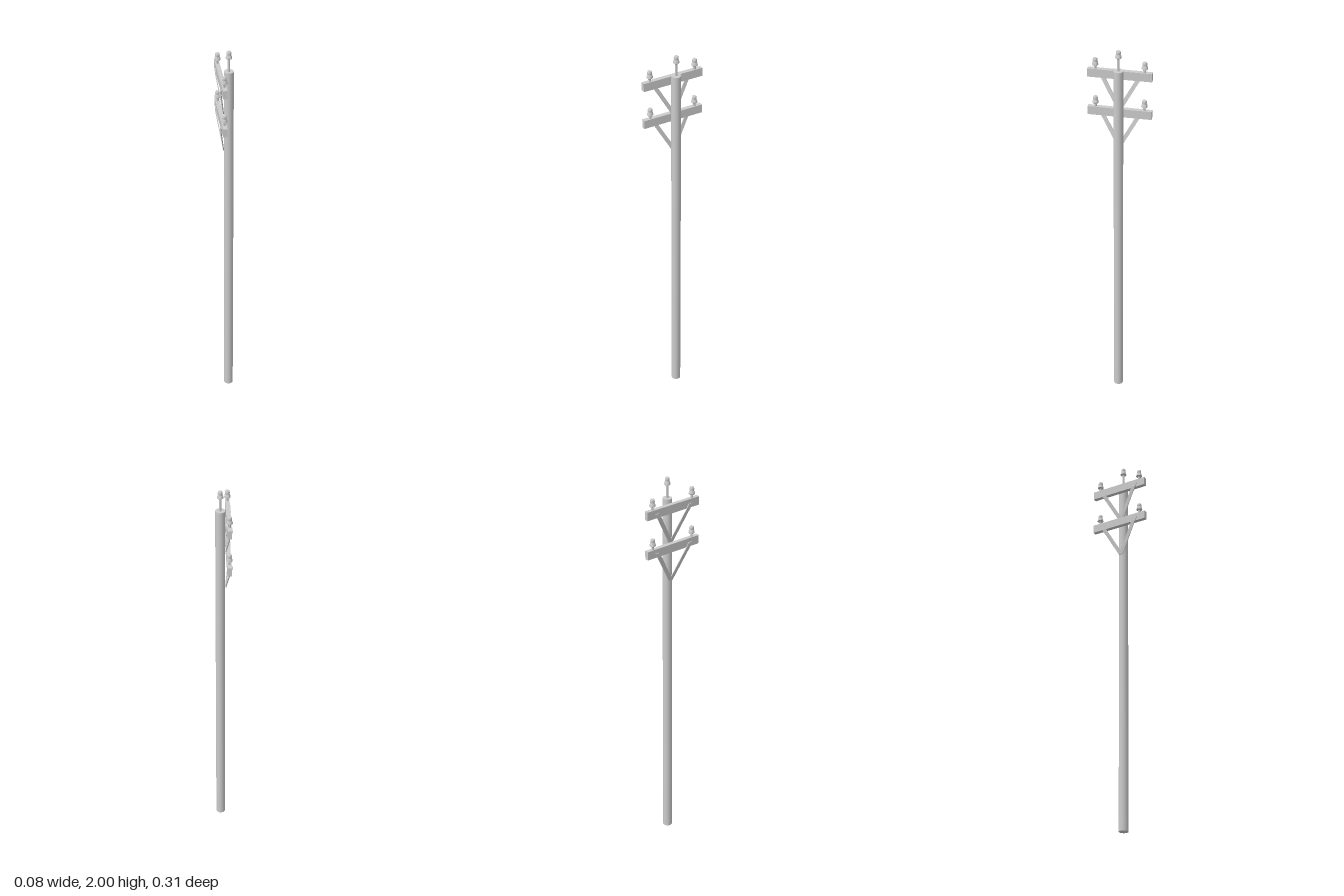
import * as THREE from 'three';
import { toCreasedNormals } from 'three/addons/utils/BufferGeometryUtils.js';

const POLE_X = 0.0145, POLE_R = 0.0235, POLE_H = 1.897;
const ARM_X = -0.0235, ARM_W = 0.021, ARM_H = 0.043, ARM_L = 0.309;

export function createModel() {
  const root = new THREE.Group();
  root.name = 'utilityPole';
  const material = new THREE.MeshStandardMaterial({ color: 0xcccccc });

  const add = (parent, name, geometry, x, y, z) => {
    const mesh = new THREE.Mesh(geometry, material);
    mesh.name = name;
    mesh.position.set(x, y, z);
    parent.add(mesh);
    return mesh;
  };

  // Bell-shaped insulator: skirt, neck groove and rounded head, base at y = 0
  const bell = toCreasedNormals(new THREE.LatheGeometry([
    [0, 0], [0.0125, 0], [0.0155, 0.003], [0.0145, 0.009], [0.0125, 0.016], [0.011, 0.019],
    [0.0105, 0.022], [0.0115, 0.025], [0.0105, 0.034], [0.009, 0.037], [0, 0.037],
  ].map(([r, y]) => new THREE.Vector2(r, y)), 20), 0.6);

  // Insulator standing on a pin of the given length
  const addInsulator = (parent, x, y, z, pinLength) => {
    const group = new THREE.Group();
    group.name = 'insulator';
    group.position.set(x, y, z);
    add(group, 'pin', new THREE.CylinderGeometry(0.006, 0.006, pinLength + 0.004, 12), 0, pinLength / 2, 0);
    add(group, 'bell', bell, 0, pinLength, 0);
    parent.add(group);
  };

  // Flat strap brace: lies on the arm's outer face, then bends in to the pole.
  // Origin is at the arm's bottom edge; side is +1 or -1 along z.
  const braceGeometry = (side) => {
    const w = 0.011, drop = 0.16;
    const strip = (z0, y0, z1, y1) => new THREE.Shape([
      [z0 - w, y0], [z0 + w, y0], [z1 + w, y1], [z1 - w, y1],
    ].map(([z, y]) => new THREE.Vector2(z * side, y)));
    const geometry = new THREE.ExtrudeGeometry(
      [strip(0, -drop, 0.088, 0), strip(0.088, 0, 0.1, 0.022)],
      { depth: 0.004, bevelEnabled: false },
    );
    geometry.rotateY(-Math.PI / 2);
    const p = geometry.attributes.position;
    for (let i = 0; i < p.count; i++) {
      p.setX(i, p.getX(i) + 0.0245 * Math.max(0, -p.getY(i) / drop));
    }
    geometry.computeVertexNormals();
    return geometry;
  };

  // Pole and the insulator on its top
  add(root, 'pole', new THREE.CylinderGeometry(POLE_R, POLE_R, POLE_H, 24), POLE_X, POLE_H / 2, 0);
  addInsulator(root, POLE_X, POLE_H, 0, 0.066);

  // Two crossarms, each with a pair of insulators and braces
  for (const top of [1.88, 1.678]) {
    const group = new THREE.Group();
    group.name = 'crossarmAssembly';
    root.add(group);
    add(group, 'crossarm', new THREE.BoxGeometry(ARM_W, ARM_H, ARM_L), ARM_X, top - ARM_H / 2, 0);
    for (const side of [1, -1]) {
      addInsulator(group, ARM_X, top, 0.118 * side, 0.017);
      add(group, 'brace', braceGeometry(side), ARM_X - ARM_W / 2, top - ARM_H, 0);
    }
  }

  return root;
}
